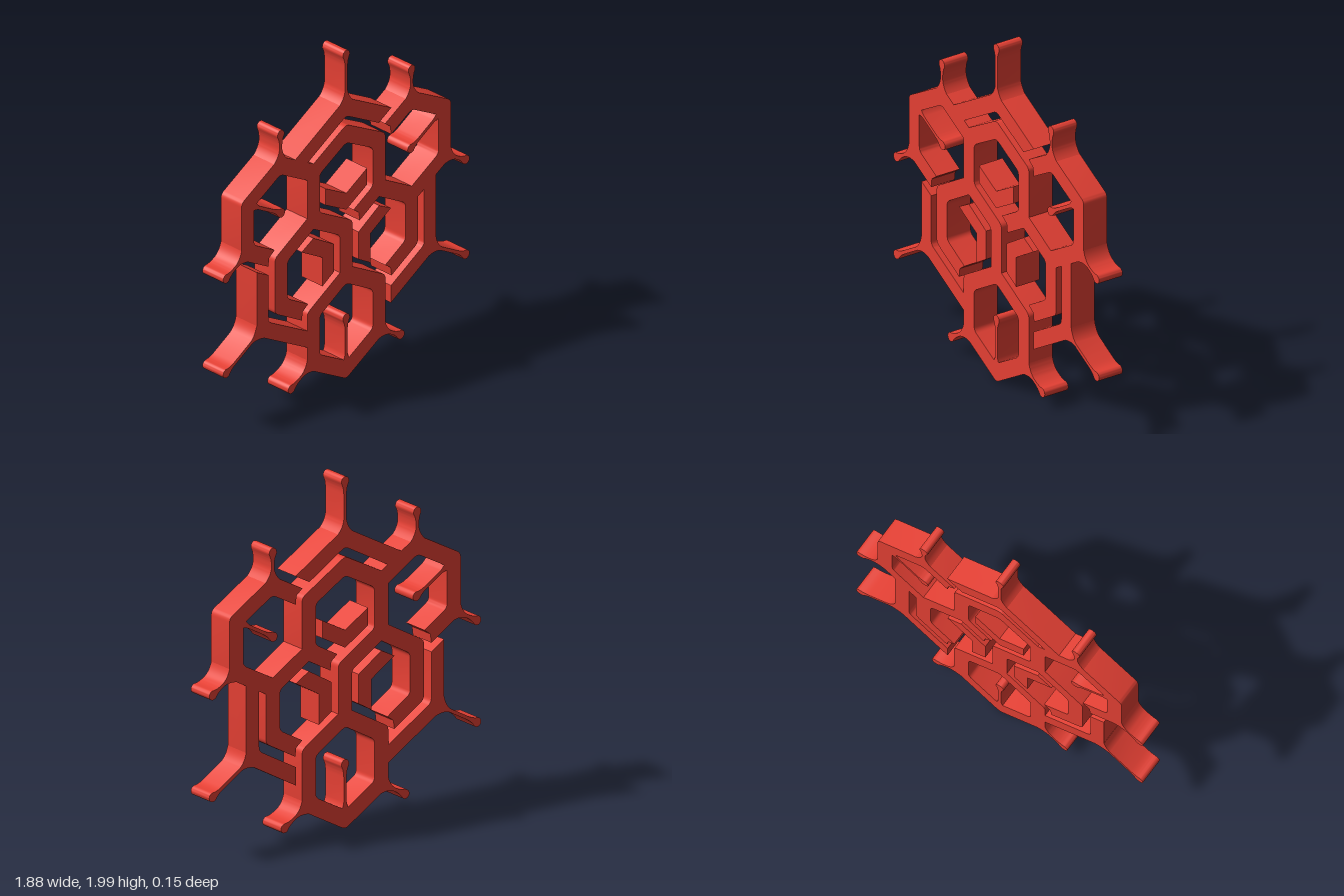
import * as THREE from 'three';
import { toCreasedNormals } from 'three/addons/utils/BufferGeometryUtils.js';

const DEPTH = 0.154;
const W = 0.095;
const V = (x, y) => new THREE.Vector2(x, y);

export function createModel() {
  const group = new THREE.Group();
  const material = new THREE.MeshStandardMaterial({ color: 0xe64034 });

  function plate(name, shape) {
    let geo = new THREE.ExtrudeGeometry(shape, { depth: DEPTH, bevelEnabled: false, curveSegments: 10 });
    geo.translate(0, 0, -DEPTH / 2);
    geo = toCreasedNormals(geo, 0.6);
    const mesh = new THREE.Mesh(geo, material);
    mesh.name = name;
    group.add(mesh);
  }

  // Replaces a corner by a short curve
  function rounded(prev, p, next, size = 0.025) {
    const a = p.clone().add(prev.clone().sub(p).setLength(size));
    const b = p.clone().add(next.clone().sub(p).setLength(size));
    return new THREE.QuadraticBezierCurve(a, p, b).getPoints(5);
  }
  const roundOpen = (pts) => pts.flatMap((p, i) =>
    i === 0 || i === pts.length - 1 ? [p] : rounded(pts[i - 1], p, pts[i + 1]));
  const roundClosed = (pts) => pts.flatMap((p, i) =>
    rounded(pts.at(i - 1), p, pts[(i + 1) % pts.length]));

  // Mitred bar along a polyline; ends may be notched or cut along a given direction
  function bar(name, coords, { width = W, closed = false, notchStart, notchEnd, cutStart, cutEnd } = {}) {
    const pts = coords.map(([x, y]) => V(x, y));
    const n = pts.length;
    const dir = (i) => pts[(i + 1) % n].clone().sub(pts[i]).normalize();
    const normal = (d) => V(-d.y, d.x);
    const left = [], right = [];
    pts.forEach((p, i) => {
      const first = i === 0 && !closed, last = i === n - 1 && !closed;
      const a = normal(first ? dir(0) : dir((i - 1 + n) % n));
      const b = normal(last ? dir(n - 2) : dir(i));
      let cut = a.clone().add(b);
      if (first && cutStart) cut = V(...cutStart);
      if (last && cutEnd) cut = V(...cutEnd);
      cut.multiplyScalar(width / 2 / cut.dot(a));
      left.push(p.clone().add(cut));
      right.push(p.clone().sub(cut));
    });
    if (closed) {
      // counter-clockwise points: the right side is the outer one, the hole runs the other way
      const ring = new THREE.Shape(roundClosed(right));
      ring.holes.push(new THREE.Path(roundClosed(left).reverse()));
      return plate(name, ring);
    }
    const outline = roundOpen(left);
    if (notchEnd) outline.push(pts[n - 1].clone().addScaledVector(dir(n - 2), -0.02));
    outline.push(...roundOpen(right).reverse());
    if (notchStart) outline.push(pts[0].clone().addScaledVector(dir(0), 0.02));
    plate(name, new THREE.Shape(outline));
  }

  // Thin stem with a flared root and a round drop at its tip
  function branch(name, [x0, y0], [x1, y1]) {
    const d = V(x1 - x0, y1 - y0), L = d.length();
    d.normalize();
    const at = (t, h) => [x0 + d.x * t - d.y * h, y0 + d.y * t + d.x * h];
    const r = 0.026, h = 0.01, neck = Math.max(L - 0.075, 0.107);
    const s = new THREE.Shape();
    s.moveTo(...at(0.02, -0.056));
    s.quadraticCurveTo(...at(0.056, -0.016), ...at(0.1, -h));
    s.lineTo(...at(neck, -h));
    s.quadraticCurveTo(...at(L - 0.035, -h), ...at(L - 0.008, -r));
    for (let i = 0; i <= 12; i++) {
      const a = -Math.PI / 2 + (Math.PI * i) / 12;
      s.lineTo(...at(L + r * Math.cos(a), r * Math.sin(a)));
    }
    s.lineTo(...at(L - 0.008, r));
    s.quadraticCurveTo(...at(L - 0.035, h), ...at(neck, h));
    s.lineTo(...at(0.1, h));
    s.quadraticCurveTo(...at(0.056, 0.016), ...at(0.02, 0.056));
    plate(name, s);
  }

  // Hexagonal cells
  bar('topCell', [[0.078, 0.965], [0.25, 1.065], [0.25, 1.353], [0, 1.493], [-0.25, 1.353],
    [-0.25, 1.065], [0, 0.92], [0, 0.62]], { notchStart: true });
  bar('bottomCell', [[-0.25, 0.49], [-0.25, 0.2], [0, 0.056], [0.25, 0.2], [0.25, 0.49], [0, 0.637]],
    { closed: true });
  bar('lowerRightCell', [[-0.25, 1.065], [-0.496, 0.92], [-0.496, 0.638], [-0.315, 0.53]], { notchEnd: true });
  bar('lowerLeftCell', [[0.25, 1.065], [0.498, 0.92], [0.498, 0.638], [0.32, 0.533]], { notchEnd: true });
  bar('upperRightCell', [[-0.25, 1.353], [-0.5, 1.497], [-0.75, 1.355], [-0.75, 1.065], [-0.57, 0.96]],
    { notchEnd: true });
  bar('upperLeftCell', [[0.318, 1.394], [0.5, 1.497], [0.75, 1.355], [0.75, 1.065], [0.498, 0.92]],
    { notchStart: true });

  // Outer bars around the cells
  bar('roofBar', [[-0.37, 1.443], [0, 1.656], [0.295, 1.487]], { cutEnd: [0.866, 0.5] });
  bar('rightOuterBar', [[-0.638, 0.893], [-0.638, 0.555], [-0.26, 0.337]],
    { width: 0.088, cutStart: [0.866, -0.5] });
  bar('leftOuterBar', [[0.638, 0.99], [0.638, 0.555], [0.34, 0.38]],
    { width: 0.09, cutEnd: [0, -1] });

  // Chevrons inside the three central cells
  const polygon = (name, pts) => plate(name, new THREE.Shape(pts.map(([x, y]) => V(x, y))));
  polygon('topChevron', [[-0.158, 1.22], [-0.158, 1.12], [0, 1.03], [0.158, 1.12], [0.158, 1.22], [0, 1.13]]);
  for (const [side, k] of [['left', 1], ['right', -1]]) {
    polygon(side + 'Chevron', [[0.25, 0.955], [0.093, 0.857], [0.093, 0.69], [0.182, 0.635],
      [0.182, 0.81], [0.34, 0.905]].map(([x, y]) => [k * x, y]));

    // Mirrored branches
    branch(side + 'TopBranch', [k * 0.5, 1.497], [k * 0.498, 1.685]);
    branch(side + 'UpperBranch', [k * 0.75, 1.065], [k * 0.912, 0.971]);
    branch(side + 'LowerBranch', [k * 0.638, 0.555], [k * 0.912, 0.394]);
    branch(side + 'BottomBranch', [k * 0.25, 0.2], [k * 0.417, 0.102]);
    branch(side + 'InnerBranch', [k * 0.75, 1.355], [k * 0.493, 1.205]);
  }
  branch('topBranch', [0, 1.656], [0, 1.974]);
  branch('bottomInnerBranch', [0, 0.055], [0, 0.37]);

  return group;
}
